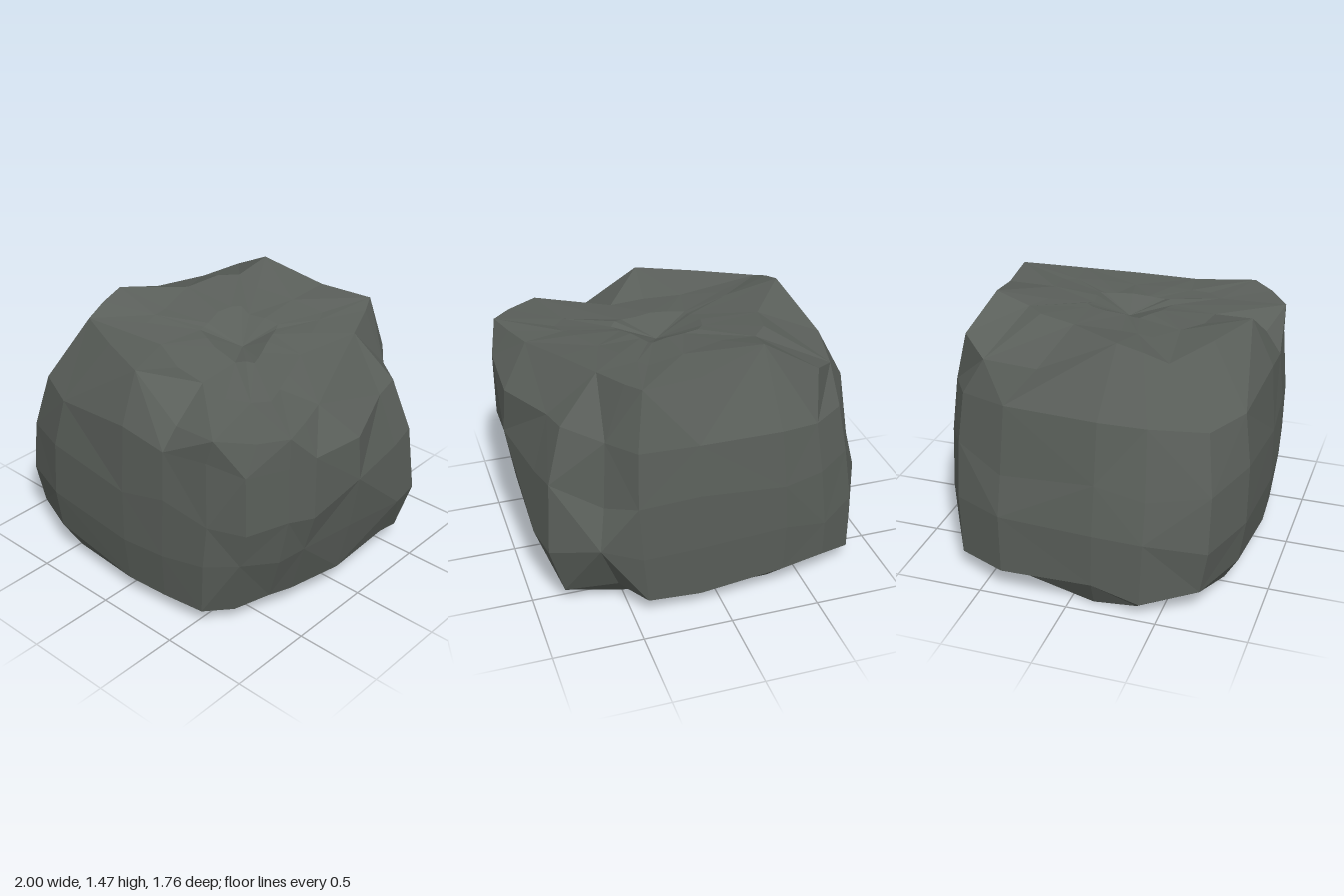
import * as THREE from 'three';

// Plan outline (x, z), from the front round by +x
const outline = [
  [0.05, 0.88], [0.34, 0.865], [0.62, 0.83], [0.81, 0.74], [0.93, 0.55],
  [0.98, 0.4], [1, 0.05], [0.98, -0.4], [0.94, -0.6], [0.72, -0.82],
  [0.48, -0.87], [0.15, -0.885], [-0.35, -0.87], [-0.6, -0.82], [-0.8, -0.7],
  [-0.95, -0.4], [-1, 0.15], [-0.98, 0.42], [-0.86, 0.74], [-0.53, 0.865],
];
const COLS = outline.length;

// Which zone of the outline each column belongs to:
// 0 sides, 1 front +x corner, 2 back +x corner, 3 back -x corner,
// 4 front -x corner, 5 front middle, 6 beside the front -x corner, 7 groove at the back
const zones = [5, 5, 5, 1, 1, 1, 0, 2, 2, 7, 0, 0, 0, 3, 3, 3, 0, 6, 4, 6];

// Rings of the sides: height, unevenness, outline scale by direction, extra scale by zone
const levels = [
  { y: 0.01, rough: 0.01, left: 0.92, right: 0.72, front: 0.88, back: 0.78, zone: [1, 0.9, 0.92, 0.92, 0.87, 0.84, 0.98, 0.9] },
  { y: 0.13, rough: 0.045, left: 1, right: 0.88, front: 0.96, back: 0.96, zone: [1, 0.93, 1, 1.01, 0.98, 1, 1, 0.87] },
  { y: 0.42, rough: 0.06, left: 1, right: 0.95, front: 1, back: 0.99, zone: [1, 0.98, 1.02, 1, 1, 1, 1, 0.98] },
  { y: 0.74, rough: 0.06, left: 0.95, right: 1, front: 1, back: 1, zone: [1, 1, 0.94, 0.99, 1, 1, 1, 0.87] },
  { y: 1.06, rough: 0.03, left: 0.89, right: 0.98, front: 0.99, back: 0.97, zone: [1, 1.02, 0.86, 0.99, 0.95, 0.98, 0.96, 0.85] },
];

// Uneven rim of the top (x, y, z)
const rim = [
  [0.03, 1.36, 0.73], [0.34, 1.16, 0.75], [0.64, 1.215, 0.8], [0.82, 1.22, 0.68], [0.93, 1.235, 0.55],
  [0.88, 1.235, 0.38], [0.82, 1.24, 0.2], [0.69, 1.29, -0.12], [0.57, 1.33, -0.42], [0.48, 1.36, -0.64],
  [0.42, 1.38, -0.76], [0.1, 1.38, -0.72], [-0.27, 1.47, -0.64], [-0.55, 1.32, -0.71], [-0.69, 1.25, -0.55],
  [-0.76, 1.27, -0.22], [-0.66, 1.43, 0.18], [-0.65, 1.39, 0.32], [-0.63, 1.34, 0.45], [-0.3, 1.35, 0.6],
];
const hollow = [0.12, 1.25, 0];

function seeded(seed) {
  return () => {
    seed = (seed * 16807) % 2147483647;
    return seed / 2147483647;
  };
}

function boulderGeometry() {
  const random = seeded(41);
  const vary = (amount) => (random() * 2 - 1) * amount;

  const rings = levels.map(({ y, rough, left, right, front, back, zone }) =>
    outline.map(([x, z], i) => {
      const s = zone[zones[i]];
      return [x * (x < 0 ? left : right) * s, y + vary(rough), z * (z > 0 ? front : back) * s];
    }));

  // Top: the rim, then two rings on a gentle slope around a small hollow
  rings.push(rim);
  for (const t of [0.62, 0.27]) {
    rings.push(rim.map(([rx, , rz]) => {
      const x = hollow[0] + (rx - hollow[0]) * t;
      const z = hollow[2] + (rz - hollow[2]) * t;
      return [x, 1.34 - 0.1 * x - 0.1 * z + vary(0.008), z];
    }));
  }

  const positions = [];
  const triangle = (a, b, c) => positions.push(...a, ...b, ...c);
  for (let r = 0; r < rings.length - 1; r++) {
    for (let i = 0; i < COLS; i++) {
      const j = (i + 1) % COLS;
      const a = rings[r][i], b = rings[r][j], c = rings[r + 1][j], d = rings[r + 1][i];
      if ((i + r) % 2) {
        triangle(a, b, c);
        triangle(a, c, d);
      } else {
        triangle(a, b, d);
        triangle(b, c, d);
      }
    }
  }

  // Close the underside and the hollow
  const top = rings[rings.length - 1];
  for (let i = 0; i < COLS; i++) {
    const j = (i + 1) % COLS;
    triangle([-0.1, 0.01, 0], rings[0][j], rings[0][i]);
    triangle(top[i], top[j], hollow);
  }

  const geometry = new THREE.BufferGeometry();
  geometry.setAttribute('position', new THREE.Float32BufferAttribute(positions, 3));
  geometry.computeVertexNormals();
  return geometry;
}

export function createModel() {
  const stone = new THREE.MeshStandardMaterial({ color: 0x5a5f5a, flatShading: true });
  stone.name = 'dark grey stone';

  const boulder = new THREE.Mesh(boulderGeometry(), stone);
  boulder.name = 'boulder';

  const group = new THREE.Group();
  group.name = 'rock';
  group.add(boulder);
  return group;
}
